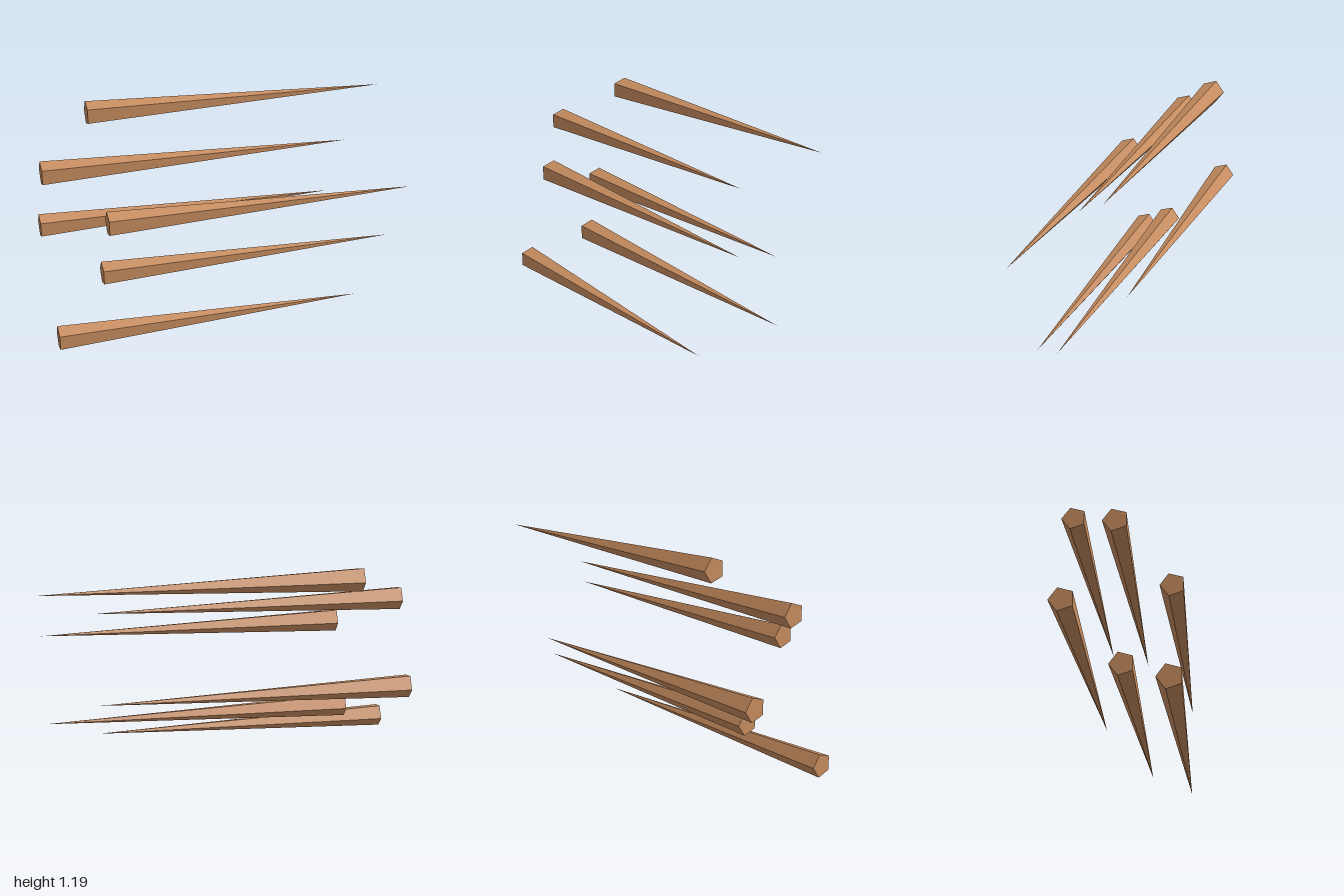
import * as THREE from 'three';

export function createModel() {
  const model = new THREE.Group();
  model.name = 'spikes';
  const wood = new THREE.MeshStandardMaterial({ color: 0xc68c5f });
  wood.name = 'wood';

  const length = 1.705, radius = 0.067;

  // Five-sided stake pointing along +x, base at x = 0, one ridge facing the back
  const cone = new THREE.ConeGeometry(radius, length, 5, 1, false, Math.PI)
    .rotateZ(-Math.PI / 2)
    .translate(length / 2, 0, 0)
    .toNonIndexed();
  cone.computeVertexNormals(); // flat facets

  // Six stakes rising in steps, cycling through three rows and two offsets
  for (let i = 0; i < 6; i++) {
    const stake = new THREE.Mesh(cone, wood);
    stake.name = `stake${i + 1}`;
    stake.position.set(
      i % 2 ? 1 - length : -1,
      0.067 + i * 0.213,
      0.0065 + (1 - (i % 3)) * 0.2565
    );
    model.add(stake);
  }
  return model;
}
